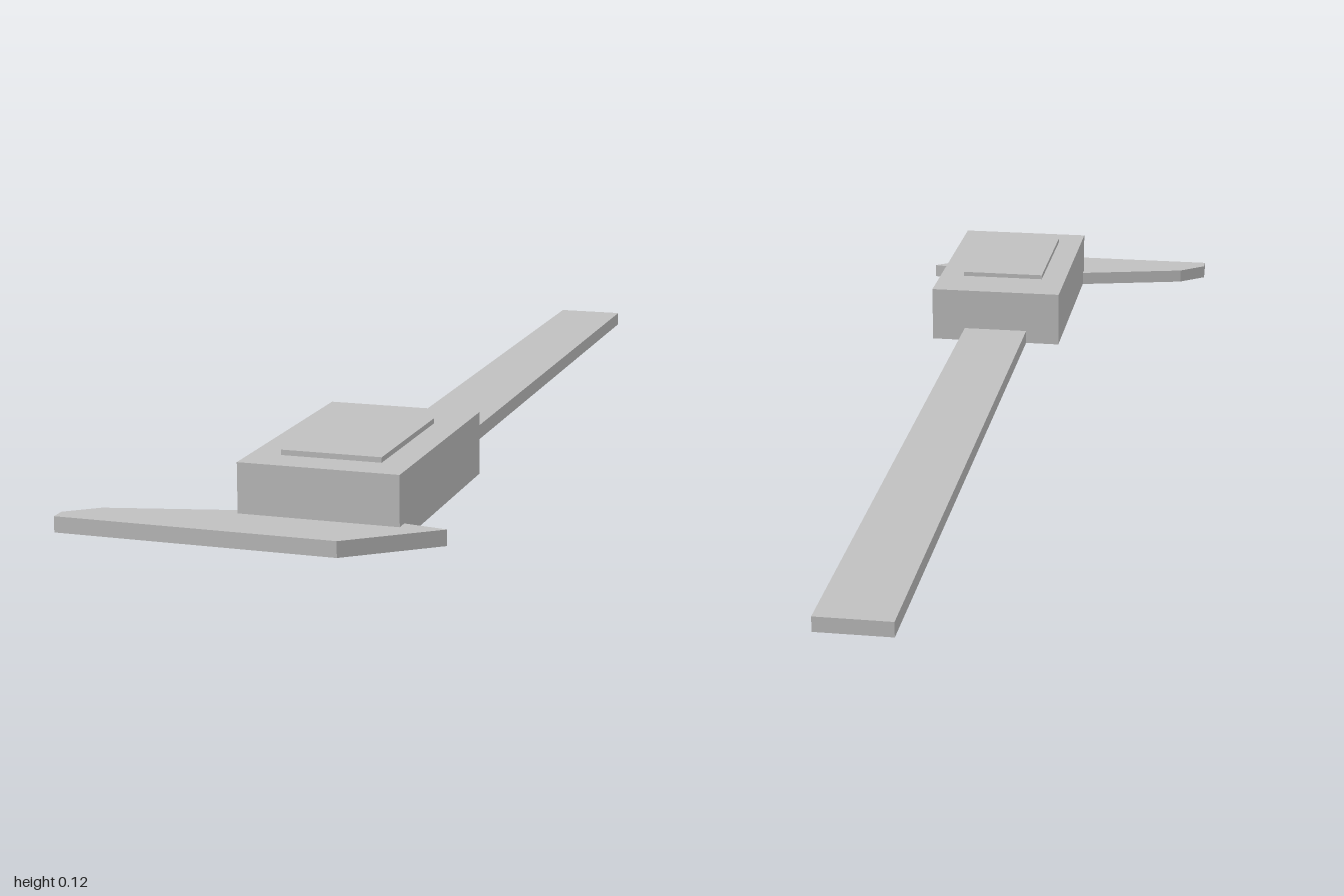
import * as THREE from 'three';

export function createModel() {
  const model = new THREE.Group();
  const grey = new THREE.MeshStandardMaterial({ color: 0xc0c0c0 });
  grey.name = 'grey metal';

  const add = (name, geometry) => {
    const mesh = new THREE.Mesh(geometry, grey);
    mesh.name = name;
    model.add(mesh);
  };
  // Box given by its minimum and maximum on each axis
  const block = (name, [x0, x1], [y0, y1], [z0, z1]) => add(name,
    new THREE.BoxGeometry(x1 - x0, y1 - y0, z1 - z0)
      .translate((x0 + x1) / 2, (y0 + y1) / 2, (z0 + z1) / 2));

  const thickness = 0.027;

  // Long flat ruler, running into the housing
  block('beam', [0.033, 0.167], [0, thickness], [-1, 0.45]);

  // Sliding housing and the thin raised display on it
  block('housing', [-0.037, 0.237], [0, 0.112], [0.44, 0.897]);
  block('display', [0.014, 0.186], [0.112, 0.121], [0.545, 0.832]);

  // Measuring jaws: outline in x and z, extruded upwards
  const outline = [
    [-0.312, 1], [0.168, 1], [0.312, 0.887], [0.237, 0.874],
    [-0.037, 0.877], [-0.26, 0.93], [-0.312, 0.972],
  ].map(([x, z]) => new THREE.Vector2(x, z));
  add('jaws', new THREE.ExtrudeGeometry(new THREE.Shape(outline),
    { depth: thickness, bevelEnabled: false })
    .rotateX(Math.PI / 2).translate(0, thickness, 0));

  return model;
}
